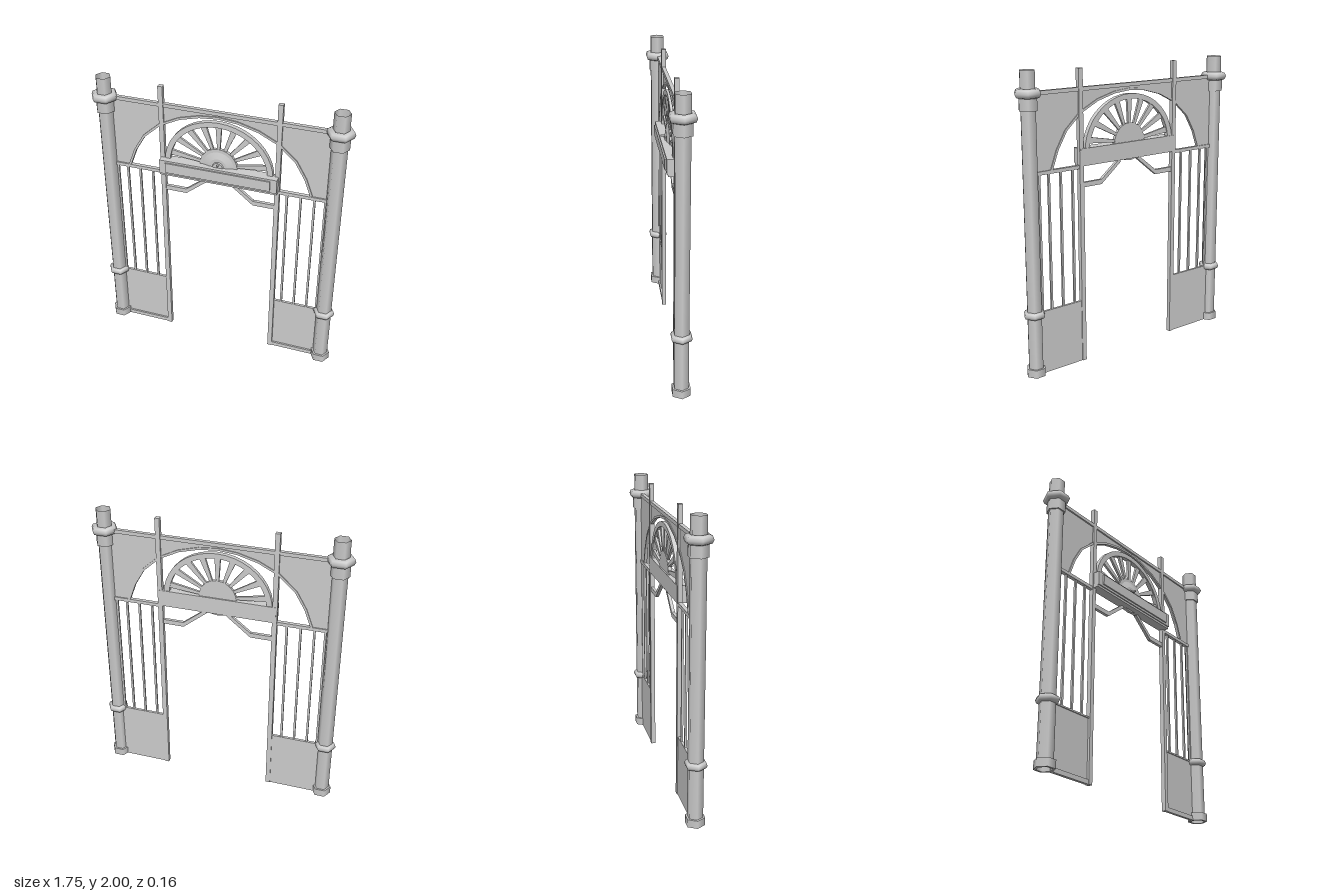
import * as THREE from 'three';

const mat = new THREE.MeshStandardMaterial({ color: 0xcccccc, side: THREE.DoubleSide });

export function createModel() {
  const model = new THREE.Group();
  const portal = new THREE.Group(); // everything centred on the doorway
  portal.name = 'portal';
  portal.position.x = 0.008;
  model.add(model.userData.root = portal);
  delete model.userData.root;

  const add = (parent, name, geometry, x = 0, y = 0, z = 0) => {
    const mesh = new THREE.Mesh(geometry, mat);
    mesh.name = name;
    mesh.position.set(x, y, z);
    parent.add(mesh);
    return mesh;
  };
  // Box given by its limits
  const box = (parent, name, x0, x1, y0, y1, z0, z1) =>
    add(parent, name, new THREE.BoxGeometry(Math.abs(x1 - x0), y1 - y0, z1 - z0),
      (x0 + x1) / 2, (y0 + y1) / 2, (z0 + z1) / 2);
  // Flat plate cut from an outline
  const plate = (parent, name, points, z0, z1, hole) => {
    const shape = new THREE.Shape(points.map(p => new THREE.Vector2(...p)));
    if (hole) shape.holes.push(new THREE.Path(hole.map(p => new THREE.Vector2(...p))));
    return add(parent, name, new THREE.ExtrudeGeometry(shape, { depth: z1 - z0, bevelEnabled: false }), 0, 0, z0);
  };
  const mirrorX = pts => pts.map(([x, y]) => [-x, y]).reverse();

  // Hexagonal hollow columns with collars and rings
  const sleeve = (r, y0, y1, inner) => {
    const pts = inner ? [[inner, y0], [r, y0], [r, y0], [r, y1], [r, y1], [inner, y1]] : [[r, y0], [r, y1]];
    return new THREE.LatheGeometry(pts.map(p => new THREE.Vector2(...p)), 6, Math.PI / 2);
  };
  for (const s of [-1, 1]) {
    const column = new THREE.Group();
    column.name = s < 0 ? 'rightColumn' : 'leftColumn';
    column.position.x = s * 0.783;
    model.add(column);
    add(column, 'shaft', sleeve(0.053, 0, 2));
    add(column, 'base', sleeve(0.067, 0, 0.055, 0.05));
    add(column, 'collar', sleeve(0.064, 1.755, 1.84, 0.05));
    for (const [name, R, t, y] of [['lowerRing', 0.05, 0.026, 0.427], ['upperRing', 0.062, 0.03, 1.86]]) {
      const ring = new THREE.TorusGeometry(R, t, 8, 6);
      ring.rotateX(Math.PI / 2);
      add(column, name, ring, 0, y, 0);
    }
  }

  // Top rail
  box(model, 'topRail', -0.81, 0.81, 1.845, 1.87, -0.02, 0.006);

  // Spandrel plate around a faceted arch, with its trim
  const half = [[0.643, 1.36], [0.595, 1.49], [0.525, 1.61], [0.41, 1.715], [0.27, 1.785], [0.13, 1.823]];
  const arch = [...half, [0, 1.835], ...mirrorX(half)];
  const innerArch = arch.map(([x, y]) => [x * 0.975, 1.36 + (y - 1.36) * 0.968]);
  plate(model, 'spandrel', [[0.74, 1.36], [0.74, 1.85], [-0.74, 1.85], [-0.74, 1.36], ...[...arch].reverse()], -0.012, -0.004);
  plate(model, 'archTrim', [...arch, ...innerArch.reverse()], -0.018, 0.004);

  // Side screens: solid lower panel, rails and upright bars
  for (const s of [-1, 1]) {
    const screen = new THREE.Group();
    screen.name = s < 0 ? 'rightScreen' : 'leftScreen';
    model.add(screen);
    const x0 = s * 0.395, x1 = s * 0.74;
    box(screen, 'lowerPanel', x0, x1, 0, 0.433, -0.018, -0.008);
    box(screen, 'bottomRail', x0, x1, 0, 0.03, -0.018, 0.004);
    box(screen, 'panelCap', x0, x1, 0.425, 0.435, -0.018, 0.0);
    box(screen, 'upperRail', x0, x1, 1.345, 1.368, -0.02, 0.006);
    for (const x of [0.47, 0.562, 0.653, 0.725])
      box(screen, 'bar', s * x - 0.007, s * x + 0.007, 0.43, 1.35, -0.015, -0.001);
  }

  // Tall door posts and the cranked brackets between post and beam
  const bracket = [[0.385, 1.25], [0.235, 1.25], [0.095, 1.36], [0.068, 1.352], [0.234, 1.218], [0.385, 1.218]];
  for (const s of [-1, 1]) {
    box(portal, 'doorPost', s * 0.396 - 0.016, s * 0.396 + 0.016, 0, 1.99, -0.023, 0.008);
    plate(portal, 'bracket', s < 0 ? mirrorX(bracket) : bracket, -0.018, 0.004);
  }

  // Beam with a raised front panel and a lower lip
  box(portal, 'beam', -0.404, 0.404, 1.375, 1.475, -0.025, 0.053);
  box(portal, 'beamLip', -0.404, 0.404, 1.36, 1.38, -0.025, 0.045);
  box(portal, 'beamPanel', -0.36, 0.36, 1.39, 1.462, 0.05, 0.063);

  // Fan light: half-oval rim, tapering spokes and a domed hub
  const fan = new THREE.Group();
  fan.name = 'fanLight';
  fan.position.set(-0.005, 1.45, 0);
  portal.add(fan);
  const A = 0.373, B = 0.348;
  const oval = (a, b, n = 20) => Array.from({ length: n + 1 }, (_, i) => {
    const t = Math.PI * i / n;
    return [a * Math.cos(t), b * Math.sin(t)];
  });
  plate(fan, 'rim', [...oval(A, B), ...oval(A - 0.037, B - 0.035).reverse()], -0.02, 0.012);
  for (let i = 0; i < 9; i++) {
    const t = THREE.MathUtils.degToRad(8 + 20.5 * i);
    const c = Math.cos(t), s = Math.sin(t);
    const reach = 1 / Math.hypot(c / (A - 0.02), s / (B - 0.045));
    const at = (r, w) => [r * c - w * s, 0.025 + r * s + w * c];
    plate(fan, 'spoke', [at(0.11, -0.009), at(reach, -0.021), at(reach, 0.021), at(0.11, 0.009)], -0.014, 0.002);
  }
  const disc = (name, r, z0, z1, rTop = r) => {
    const g = new THREE.CylinderGeometry(rTop, r, z1 - z0, 24);
    g.rotateX(Math.PI / 2);
    add(fan, name, g, 0, 0.025, (z0 + z1) / 2);
  };
  disc('hub', 0.128, -0.016, 0.006);
  disc('hubDome', 0.105, 0.006, 0.018, 0.06);
  disc('hubBoss', 0.04, 0.015, 0.026, 0.034);
  const knob = new THREE.CylinderGeometry(0.007, 0.007, 0.03, 8);
  knob.rotateX(Math.PI / 2);
  add(fan, 'knob', knob, 0.005, 0.05, 0.037);

  return model;
}
